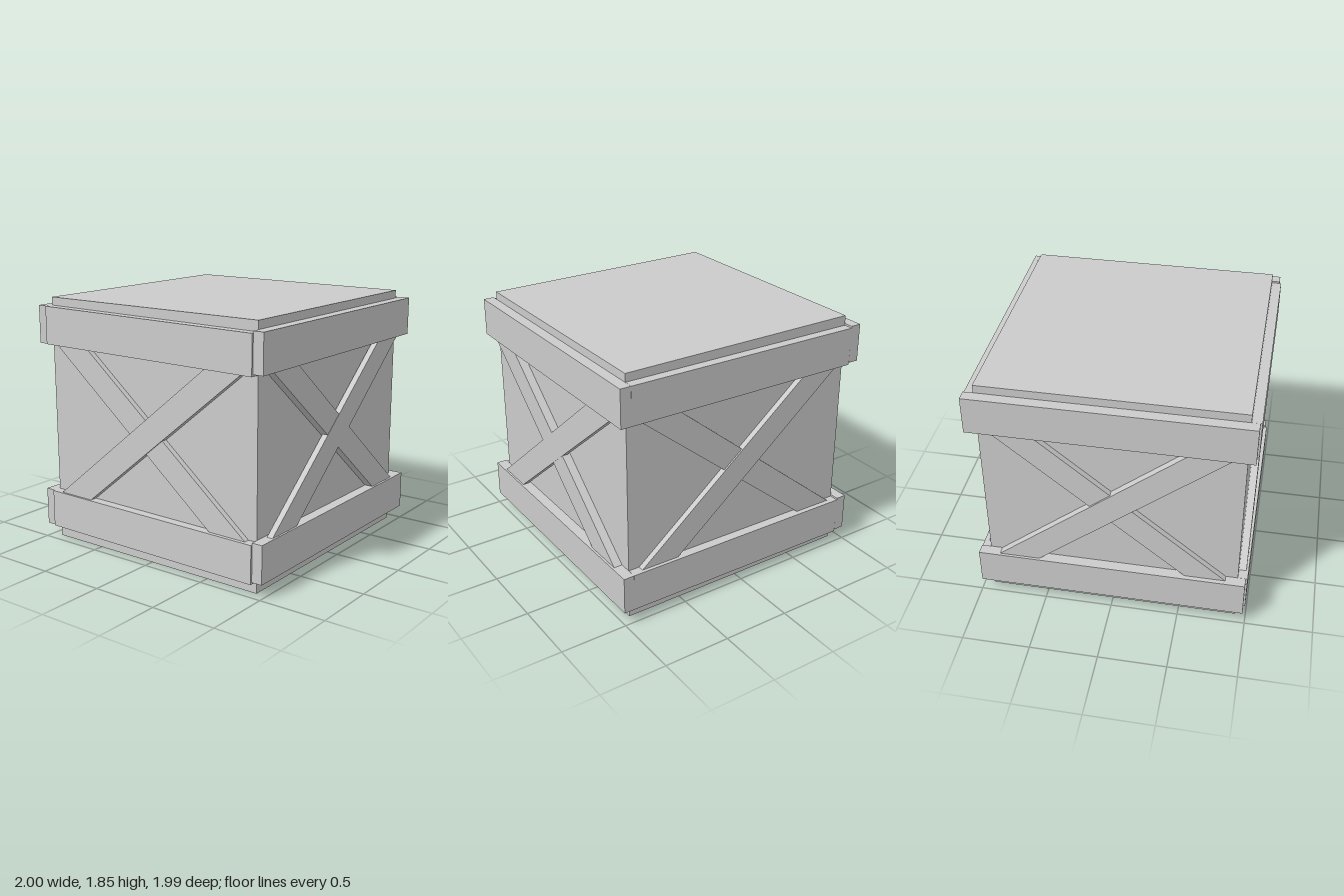
import * as THREE from 'three';

const material = new THREE.MeshStandardMaterial({ color: 0xcccccc, flatShading: true });

// Box spanning local depth z0..z1, centred on (x, y), rolled about z
function board(name, length, width, z0, z1, x, y, roll) {
  const mesh = new THREE.Mesh(new THREE.BoxGeometry(length, width, z1 - z0), material);
  mesh.name = name;
  mesh.position.set(x, y, (z0 + z1) / 2);
  mesh.rotation.z = roll;
  return mesh;
}

// One crate side, built facing +z: two bands and a crossed pair of braces
function createSide(s) {
  const side = new THREE.Group();
  side.name = s.name;
  side.add(board('upperBand', s.length, 0.28, 0.92, s.bandOut, s.shift, s.upperY, s.roll));
  side.add(board('lowerBand', s.length, 0.28, 0.92, s.bandOut, s.shift, s.lowerY, s.roll));
  const tilt = Math.atan(0.82);
  side.add(board('risingBrace', 2.17, 0.189, s.risingIn, s.risingOut, 0, 0.943, tilt));
  side.add(board('fallingBrace', 2.17, 0.189, 0.91, s.fallingOut, 0, 0.943, -tilt));
  side.rotation.y = s.yaw;
  return side;
}

export function createModel() {
  const crate = new THREE.Group();
  crate.name = 'crate';

  // Solid core
  const body = new THREE.Mesh(new THREE.BoxGeometry(1.84, 1.85, 1.846), material);
  body.name = 'body';
  body.position.y = 0.925;
  crate.add(body);

  // Front and back bands sit between the side bands, very slightly tilted
  const between = { length: 1.84, shift: 0, bandOut: 0.993, upperY: 1.643, lowerY: 0.233, roll: -0.0075, risingIn: 0.91 };
  const over = { length: 1.973, bandOut: 1, upperY: 1.65, lowerY: 0.24, roll: 0 };
  const sides = [
    { ...between, name: 'frontSide', yaw: 0, risingOut: 0.977, fallingOut: 0.965 },
    { ...between, name: 'backSide', yaw: Math.PI, risingOut: 0.967, fallingOut: 0.955 },
    { ...over, name: 'leftSide', yaw: Math.PI / 2, shift: 0.0065, risingIn: 0.94, risingOut: 0.985, fallingOut: 0.983 },
    { ...over, name: 'rightSide', yaw: -Math.PI / 2, shift: -0.0065, risingIn: 0.91, risingOut: 0.981, fallingOut: 0.966 },
  ];
  for (const s of sides) crate.add(createSide(s));
  return crate;
}
